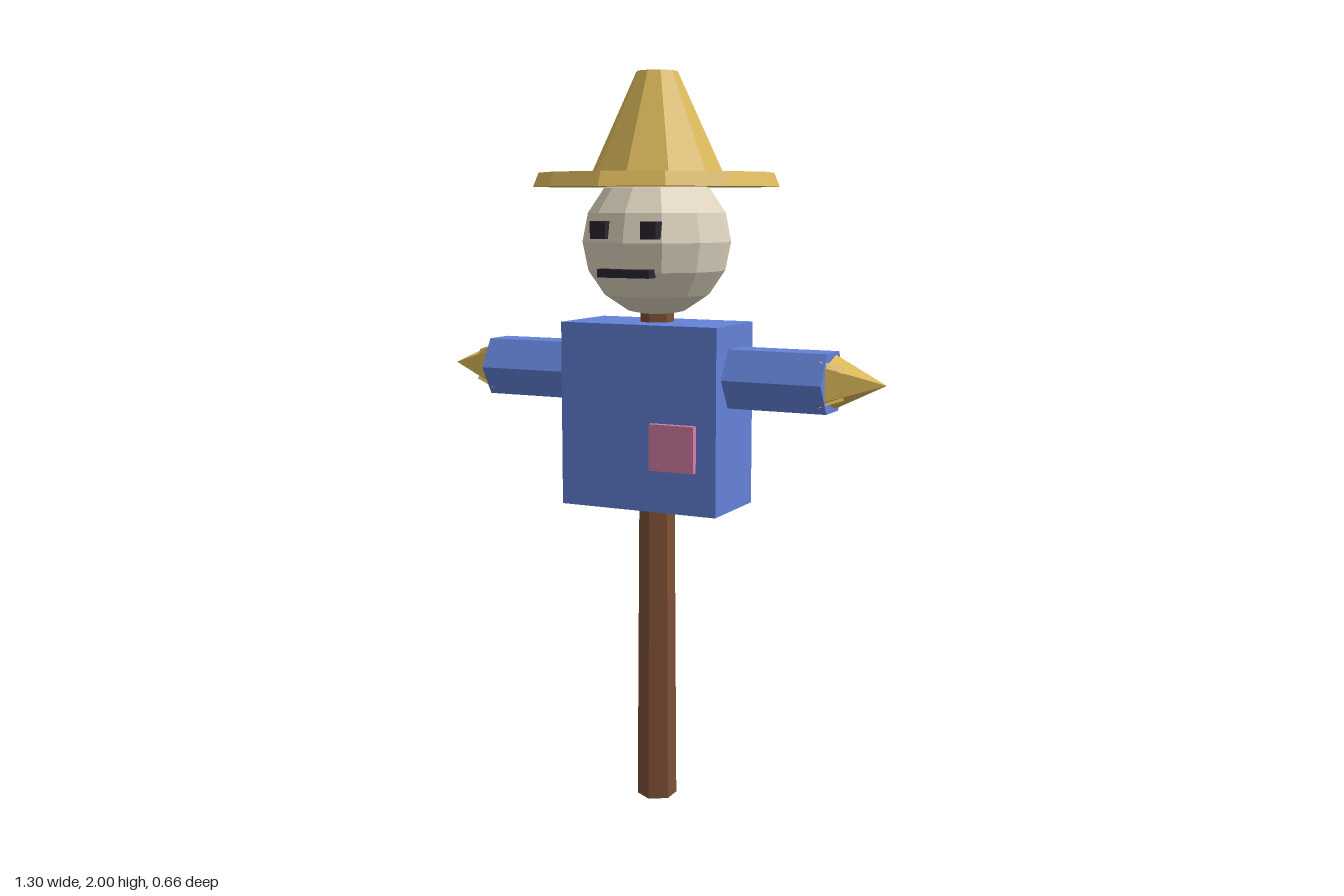
import * as THREE from 'three';

const material = (color) => new THREE.MeshStandardMaterial({ color, flatShading: true });

export function createModel() {
  const model = new THREE.Group();
  const straw = material(0xdcb95a);
  const cloth = material(0x6482d8);
  const wood = material(0x7d5035);
  const sack = material(0xe0d5c0);
  const dark = material(0x2a2430);
  const pink = material(0xd880aa);

  function add(name, geometry, mat, x = 0, y = 0, z = 0, parent = model) {
    const mesh = new THREE.Mesh(geometry, mat);
    mesh.name = name;
    mesh.position.set(x, y, z);
    parent.add(mesh);
    return mesh;
  }

  // Tapered post running up to the neck
  add('post', new THREE.CylinderGeometry(0.045, 0.055, 1.4, 6), wood, 0, 0.7, 0);

  // Shirt with a sewn patch
  add('shirt', new THREE.BoxGeometry(0.46, 0.5, 0.24), cloth, 0, 1.09, 0);
  add('patch', new THREE.BoxGeometry(0.13, 0.125, 0.03), pink, 0.108, 1.018, 0.123);

  // Sleeves: one hexagonal bar through the shirt
  add('sleeves', new THREE.CylinderGeometry(0.09, 0.09, 1.01, 6), cloth, 0, 1.2, 0)
    .rotation.z = Math.PI / 2;

  // Straw hands with small bits of straw sticking out at the cuffs
  const up = new THREE.Vector3(0, 1, 0);
  for (const side of [1, -1]) {
    const hand = new THREE.Group();
    hand.name = side > 0 ? 'leftHand' : 'rightHand';
    hand.position.set(side * 0.505, 1.2, 0);
    model.add(hand);
    add('strawTip', new THREE.ConeGeometry(0.074, 0.145, 5, 1, false, Math.PI), straw,
      side * 0.0725, 0, 0, hand).rotation.z = -side * Math.PI / 2;
    for (let i = 0; i < 4; i++) {
      const a = Math.PI / 4 + i * Math.PI / 2;
      const ring = (x, r) => new THREE.Vector3(side * x, r * Math.sin(a), r * Math.cos(a));
      const base = ring(0.04, 0.047);
      const tip = ring(-0.018, 0.086);
      const mid = base.clone().add(tip).multiplyScalar(0.5);
      add('strawBit', new THREE.ConeGeometry(0.013, base.distanceTo(tip), 3), straw,
        mid.x, mid.y, mid.z, hand)
        .quaternion.setFromUnitVectors(up, tip.clone().sub(base).normalize());
    }
  }

  // Head and face
  add('head', new THREE.SphereGeometry(0.2, 12, 8), sack, 0, 1.555, 0);
  for (const side of [1, -1]) {
    add(side > 0 ? 'leftEye' : 'rightEye', new THREE.BoxGeometry(0.045, 0.045, 0.04), dark,
      side * 0.073, 1.588, 0.18);
  }
  add('mouth', new THREE.BoxGeometry(0.15, 0.022, 0.04), dark, 0, 1.477, 0.18);

  // Hat
  add('hatBrim', new THREE.CylinderGeometry(0.315, 0.33, 0.037, 12), straw, 0, 1.718, 0);
  add('hatCrown', new THREE.CylinderGeometry(0.055, 0.18, 0.27, 10), straw, 0, 1.865, 0);

  return model;
}
